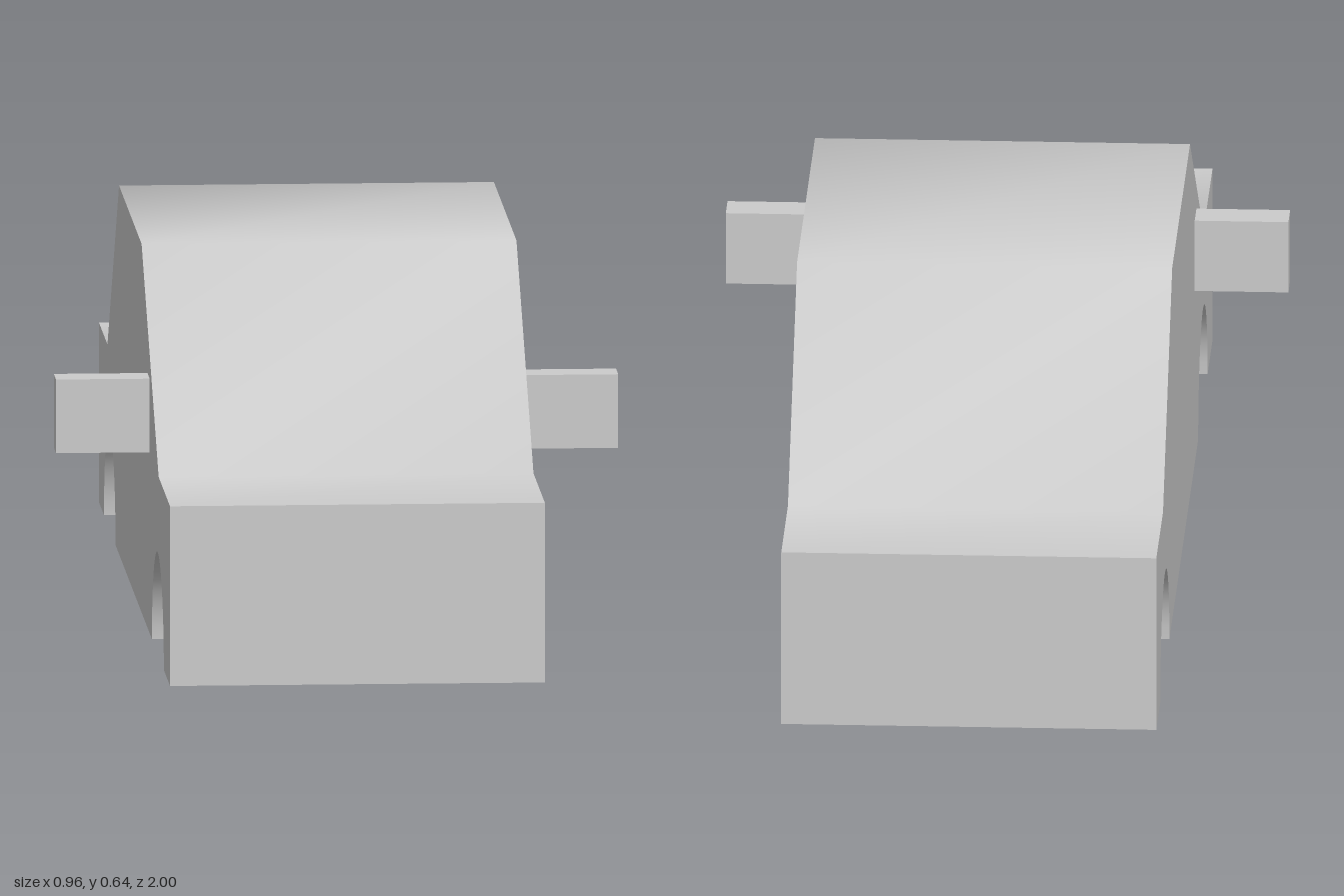
import * as THREE from 'three';
import { mergeGeometries, toCreasedNormals } from 'three/addons/utils/BufferGeometryUtils.js';

const HALF = 0.32;       // half width of the body
const WELL_DEPTH = 0.16; // how far the wheel wells cut in
const WELL_HEIGHT = 0.176;

// Upper outline as [z, y], from the front bumper over the roof to the tail
const OUTLINE = [
  [1, 0], [1, 0.31], [0.68, 0.31], [0.2, 0.636],
  [-0.436, 0.636], [-0.762, 0.31], [-1, 0.31], [-1, 0],
];

// Wheel arches as [z, y] arcs, rear first, each running from back to front
const ARCHES = [[-0.697, 0.163], [0.658, 0.168]].map(([centre, radius]) => {
  const points = [];
  for (let i = 0; i <= 24; i++) {
    const a = Math.PI * (1 - i / 24);
    points.push([centre + radius * Math.cos(a), i % 24 ? WELL_HEIGHT * Math.sin(a) : 0]);
  }
  return points;
});

// Sweeps a [z, y] line sideways from x0 to x1
function strip(line, x0, x1) {
  const positions = [];
  for (let i = 0; i < line.length - 1; i++) {
    const [za, ya] = line[i];
    const [zb, yb] = line[i + 1];
    positions.push(x0, ya, za, x1, ya, za, x1, yb, zb);
    positions.push(x0, ya, za, x1, yb, zb, x0, yb, zb);
  }
  const geometry = new THREE.BufferGeometry();
  geometry.setAttribute('position', new THREE.Float32BufferAttribute(positions, 3));
  return geometry;
}

function flat(points) {
  const shape = new THREE.Shape(points.map(([a, b]) => new THREE.Vector2(a, b)));
  const geometry = new THREE.ShapeGeometry(shape).toNonIndexed();
  geometry.deleteAttribute('normal');
  geometry.deleteAttribute('uv');
  return geometry;
}

// Upright panel of [z, y] points at height x, facing the given side
function panel(points, x, side) {
  return flat(points.map(([z, y]) => [-side * z, y]))
    .rotateY(side * Math.PI / 2)
    .translate(x, 0, 0);
}

// Floor pan with four notches for the wheel wells
function floorPan() {
  const inner = HALF - WELL_DEPTH;
  const edge = [[HALF, -1]];
  for (const arch of ARCHES) {
    const back = arch[0][0];
    const front = arch[arch.length - 1][0];
    edge.push([HALF, back], [inner, back], [inner, front], [HALF, front]);
  }
  edge.push([HALF, 1]);
  const mirrored = edge.map(([x, z]) => [-x, z]).reverse();
  return flat([...edge, ...mirrored]).rotateX(Math.PI / 2);
}

function bodyGeometry() {
  const parts = [strip(OUTLINE, -HALF, HALF), floorPan()];
  const sideOutline = [...OUTLINE, ...ARCHES.flat()];
  for (const side of [-1, 1]) {
    const outer = side * HALF;
    const inner = side * (HALF - WELL_DEPTH);
    parts.push(panel(sideOutline, outer, side));
    for (const arch of ARCHES) {
      parts.push(strip(arch, Math.min(inner, outer), Math.max(inner, outer)));
      parts.push(panel(arch, inner, side));
    }
  }
  // Smooth across hood, windscreen and roof; sharp at right angles
  return toCreasedNormals(mergeGeometries(parts), THREE.MathUtils.degToRad(50));
}

export function createModel() {
  const group = new THREE.Group();
  group.name = 'car';
  const material = new THREE.MeshStandardMaterial({ color: 0xcccccc });

  const body = new THREE.Mesh(bodyGeometry(), material);
  body.name = 'body';
  group.add(body);

  // Wing mirrors
  for (const side of [-1, 1]) {
    const mirror = new THREE.Mesh(new THREE.BoxGeometry(0.16, 0.127, 0.062), material);
    mirror.name = side > 0 ? 'leftMirror' : 'rightMirror';
    mirror.position.set(side * 0.4, 0.376, 0.396);
    group.add(mirror);
  }
  return group;
}
